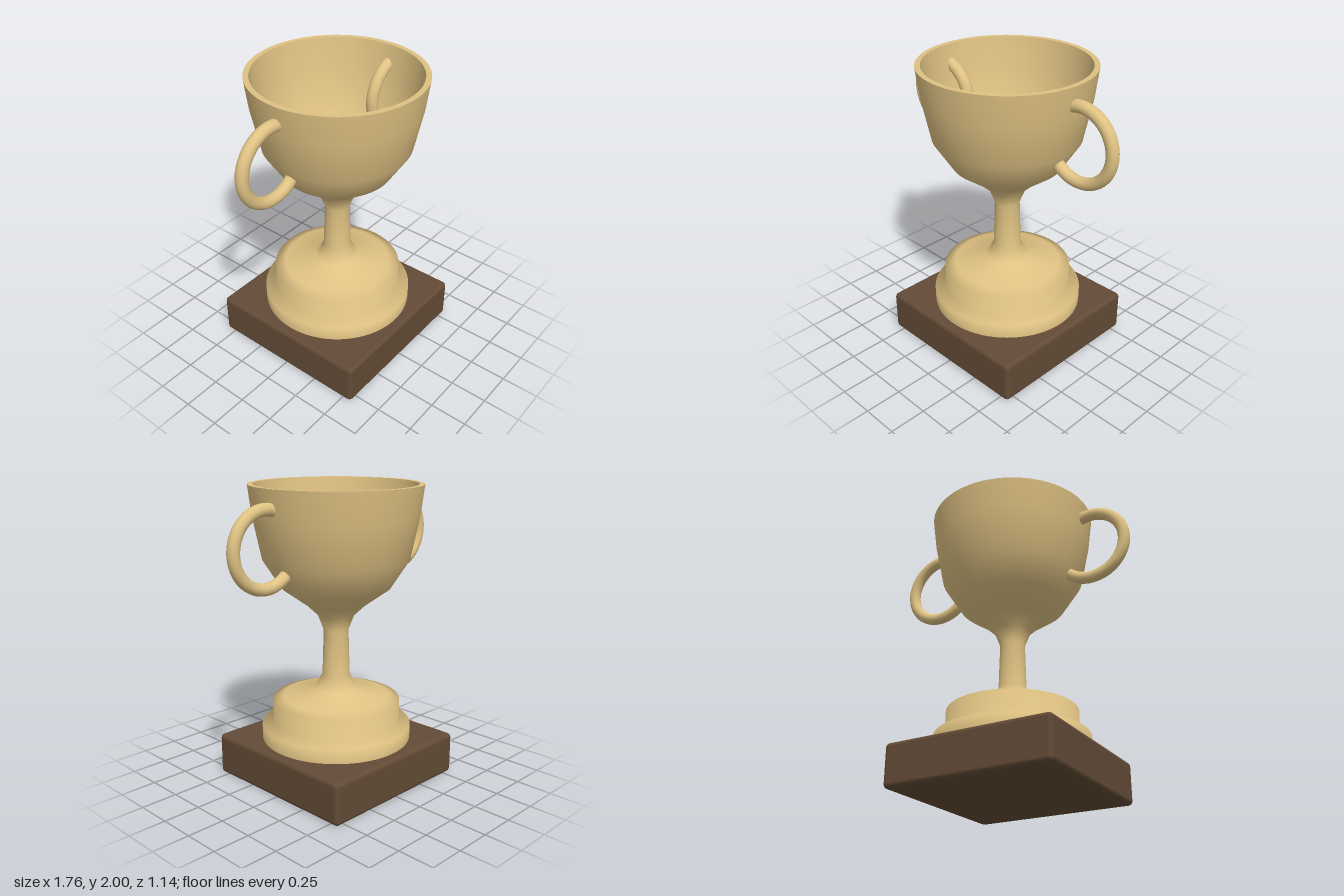
import * as THREE from 'three';
import { RoundedBoxGeometry } from 'three/addons/geometries/RoundedBoxGeometry.js';

export function createModel() {
  const group = new THREE.Group();
  const gold = new THREE.MeshStandardMaterial({ color: 0xdfc283 });
  gold.name = 'gold';
  const wood = new THREE.MeshStandardMaterial({ color: 0x634b36 });
  wood.name = 'dark wood';

  const add = (name, geometry, material, x = 0, y = 0) => {
    const mesh = new THREE.Mesh(geometry, material);
    mesh.name = name;
    mesh.position.set(x, y, 0);
    group.add(mesh);
  };
  const lathe = (points) =>
    new THREE.LatheGeometry(points.map(([r, y]) => new THREE.Vector2(r, y)), 72);

  // Square wooden plinth with softened edges
  add('plinth', new RoundedBoxGeometry(1.14, 0.285, 1.14, 3, 0.03), wood, 0, 0.1475);

  // Stepped foot, stem and outside of the bowl in one smooth profile
  add('footStemAndBowl', lathe([
    [0.505, 0.28], [0.505, 0.386], [0.43, 0.408], [0.43, 0.557], [0.36, 0.58],
    [0.145, 0.63], [0.092, 0.73], [0.083, 1.04], [0.122, 1.14], [0.195, 1.21],
    [0.36, 1.33], [0.482, 1.52], [0.54, 1.8], [0.565, 2],
  ]), gold);

  // Flat lip and hollow inside of the bowl
  add('rim', lathe([[0.565, 2], [0.53, 2]]), gold);
  add('bowlInside', lathe([
    [0.53, 2], [0.502, 1.8], [0.445, 1.54], [0.335, 1.37], [0.17, 1.25], [0, 1.21],
  ]), gold);

  // Ring handles passing through the bowl wall
  for (const [name, side] of [['leftHandle', 1], ['rightHandle', -1]]) {
    add(name, new THREE.TorusGeometry(0.24, 0.04, 16, 64), gold, side * 0.602, 1.642);
  }
  return group;
}
